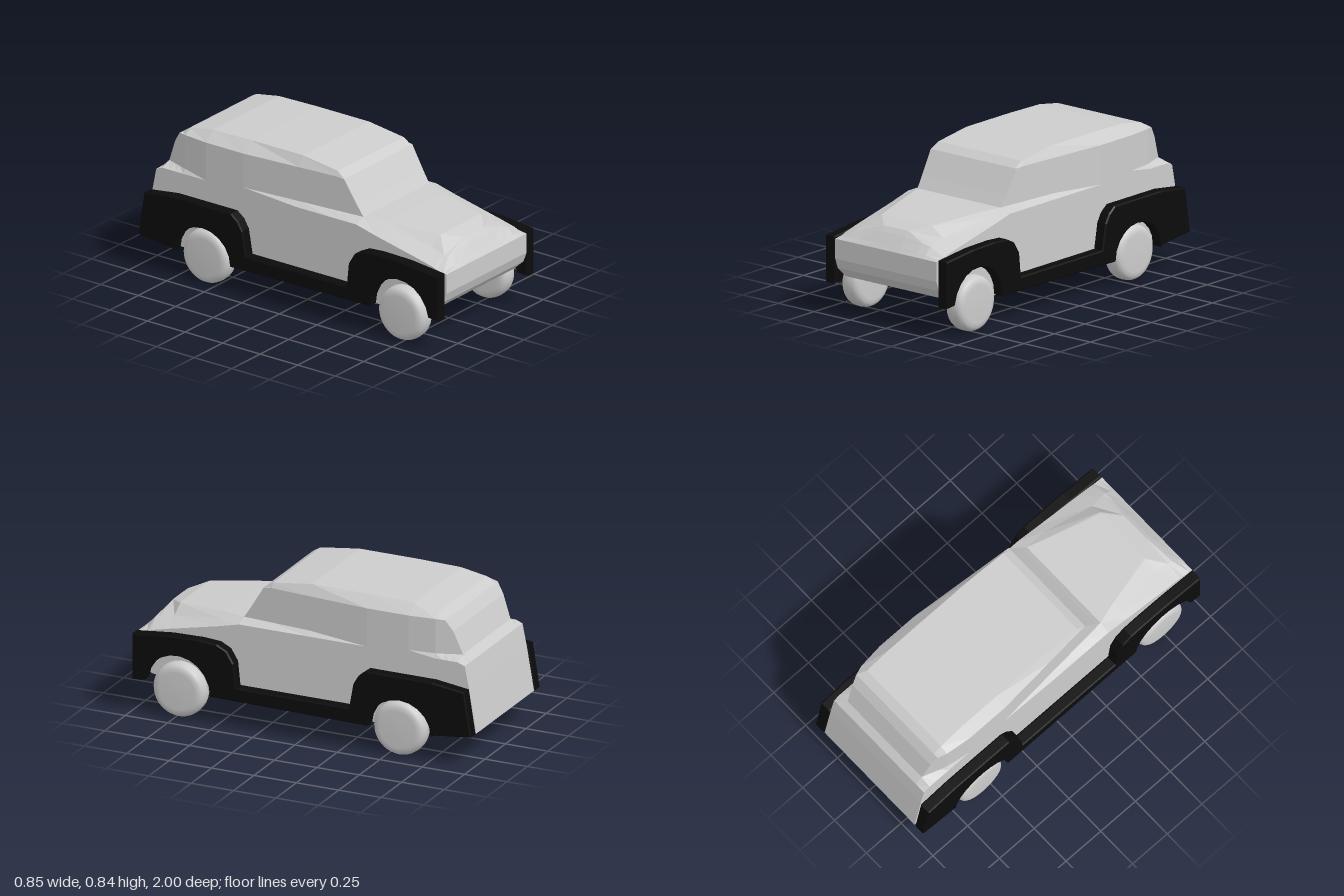
import * as THREE from 'three';

const W = 0.353; // half width of the body
const ROOF_W = 0.29; // half width of the roof

// Side profiles as z, value
const FLOOR = [[1, 0.32], [0.98, 0.265], [0.915, 0.205], [0.53, 0.145], [-0.78, 0.145], [-1, 0.18]];
const CABIN_WIDTH = [[0.4, ROOF_W], [-0.35, W], [-0.7, W], [-0.89, ROOF_W], [-1, ROOF_W]];
const ROOF = [
  [0.4, 0.59], [0.36, 0.65], [0.28, 0.78], [0.23, 0.812], [0, 0.843], [-0.35, 0.843], [-0.6, 0.838],
  [-0.75, 0.812], [-0.8, 0.78], [-0.84, 0.72], [-0.89, 0.592], [-0.93, 0.552], [-0.955, 0.43], [-0.998, 0.183],
];

// Bonnet: z, fender top y, then x/y of the valley, the crease and the crown edge
const BONNET = [
  [1, 0.43, 0.26, 0.43, 0.2, 0.43, 0.08, 0.43],
  [0.98, 0.433, 0.26, 0.448, 0.2, 0.45, 0.08, 0.455],
  [0.94, 0.44, 0.26, 0.485, 0.2, 0.495, 0.08, 0.508],
  [0.915, 0.45, 0.26, 0.49, 0.09, 0.534, 0.08, 0.535],
  [0.83, 0.47, 0.25, 0.51, 0.18, 0.56, 0.17, 0.562],
  [0.53, 0.535, 0.3, 0.56, 0.255, 0.583, 0.25, 0.585],
];

// Straight-line reading of a profile that runs from front to back
function sample(profile, z) {
  const i = Math.max(1, profile.findIndex(([pz]) => pz <= z));
  const [z0, v0] = profile[i - 1], [z1, v1] = profile[i];
  return THREE.MathUtils.mapLinear(z, z0, z1, v0, v1);
}

// Half cross-sections from floor to roof
function bodySections() {
  const bonnet = BONNET.map(([z, top, vx, vy, cx, cy, ex, ey]) => ({
    z, half: [[W, top], [vx, vy], [cx, cy], [ex, ey]],
  }));
  const cabin = ROOF.map(([z, y]) => {
    const w = sample(CABIN_WIDTH, z);
    return { z, half: [[W, Math.min(0.567, y)], [w, Math.min(0.59, y)], [w, Math.min(0.785, y)], [ROOF_W, y]] };
  });
  return [...bonnet, ...cabin].map(({ z, half }) => ({ z, half: [[W, sample(FLOOR, z)], ...half] }));
}

function bodyGeometry() {
  const sections = bodySections();
  const count = 2 * sections[0].half.length;
  const pos = [], index = [];
  for (const { z, half } of sections) {
    const mirrored = half.map(([x, y]) => [-x, y]).reverse();
    [...half, ...mirrored].forEach(([x, y]) => pos.push(x, y, z));
  }
  // skin between neighbouring sections
  for (let s = 0; s < sections.length - 1; s++) {
    for (let i = 0; i < count; i++) {
      const a = s * count + i, b = s * count + (i + 1) % count;
      index.push(a, a + count, b, b, a + count, b + count);
    }
  }
  // end caps
  const last = (sections.length - 1) * count;
  for (let i = 1; i < count - 1; i++) {
    index.push(0, i, i + 1, last, last + i + 1, last + i);
  }
  const g = new THREE.BufferGeometry();
  g.setAttribute('position', new THREE.Float32BufferAttribute(pos, 3));
  g.setIndex(index);
  const faceted = g.toNonIndexed();
  faceted.computeVertexNormals();
  return faceted;
}

// Wheel opening, from its rear end to its front end
function arch(z, y, rz, ry, end) {
  return Array.from({ length: 11 }, (_, i) => {
    const t = (i / 10) * end;
    return [z - rz * Math.cos(t), y + ry * Math.sin(t)];
  });
}

// Both fenders of one side, joined by the running board
function fenderGeometry() {
  const outline = [
    [0.998, 0.18], [0.998, 0.44], [0.78, 0.463], [0.6, 0.467], [0.5, 0.46], [0.44, 0.43],
    [0.4, 0.365], [0.386, 0.23], [-0.28, 0.23], [-0.305, 0.37], [-0.335, 0.42],
    [-0.38, 0.455], [-0.77, 0.455], [-0.96, 0.43], [-1, 0.18], [-0.78, 0.155],
    ...arch(-0.575, 0.145, 0.185, 0.175, Math.PI),
    ...arch(0.735, 0.155, 0.195, 0.2, Math.PI * 0.95),
  ];
  const shape = new THREE.Shape(outline.map(([z, y]) => new THREE.Vector2(-z, y)));
  const bevel = 0.007;
  const g = new THREE.ExtrudeGeometry(shape, {
    depth: 0.066 - 2 * bevel, bevelSegments: 1,
    bevelSize: bevel, bevelThickness: bevel, bevelOffset: -bevel,
  });
  // turn the extrusion along x, centred
  g.translate(0, 0, bevel - 0.033);
  g.rotateY(Math.PI / 2);
  return g;
}

function wheelGeometry() {
  const edge = [[0, -0.06], [0.105, -0.059], [0.128, -0.054], [0.142, -0.044], [0.15, -0.028]];
  const profile = [...edge, [0.153, 0], ...edge.map(([r, h]) => [r, -h]).reverse()];
  const g = new THREE.LatheGeometry(profile.map(([r, h]) => new THREE.Vector2(r, h)), 40);
  g.rotateZ(Math.PI / 2);
  return g;
}

export function createModel() {
  const car = new THREE.Group();
  car.name = 'car';
  const grey = new THREE.MeshStandardMaterial({ color: 0xcccccc });
  grey.name = 'light grey';
  const black = new THREE.MeshStandardMaterial({ color: 0x0b0b0b });
  black.name = 'black';

  const add = (name, geometry, material, x = 0, y = 0, z = 0) => {
    const mesh = new THREE.Mesh(geometry, material);
    mesh.name = name;
    mesh.position.set(x, y, z);
    car.add(mesh);
  };

  add('body', bodyGeometry(), grey);

  const fender = fenderGeometry();
  const wheel = wheelGeometry();
  for (const [side, s] of [['left', 1], ['right', -1]]) {
    add(`${side}Fenders`, fender, black, s * 0.391);
    add(`${side}FrontWheel`, wheel, grey, s * 0.363, 0.153, 0.735);
    add(`${side}RearWheel`, wheel, grey, s * 0.363, 0.153, -0.565);
  }
  return car;
}
